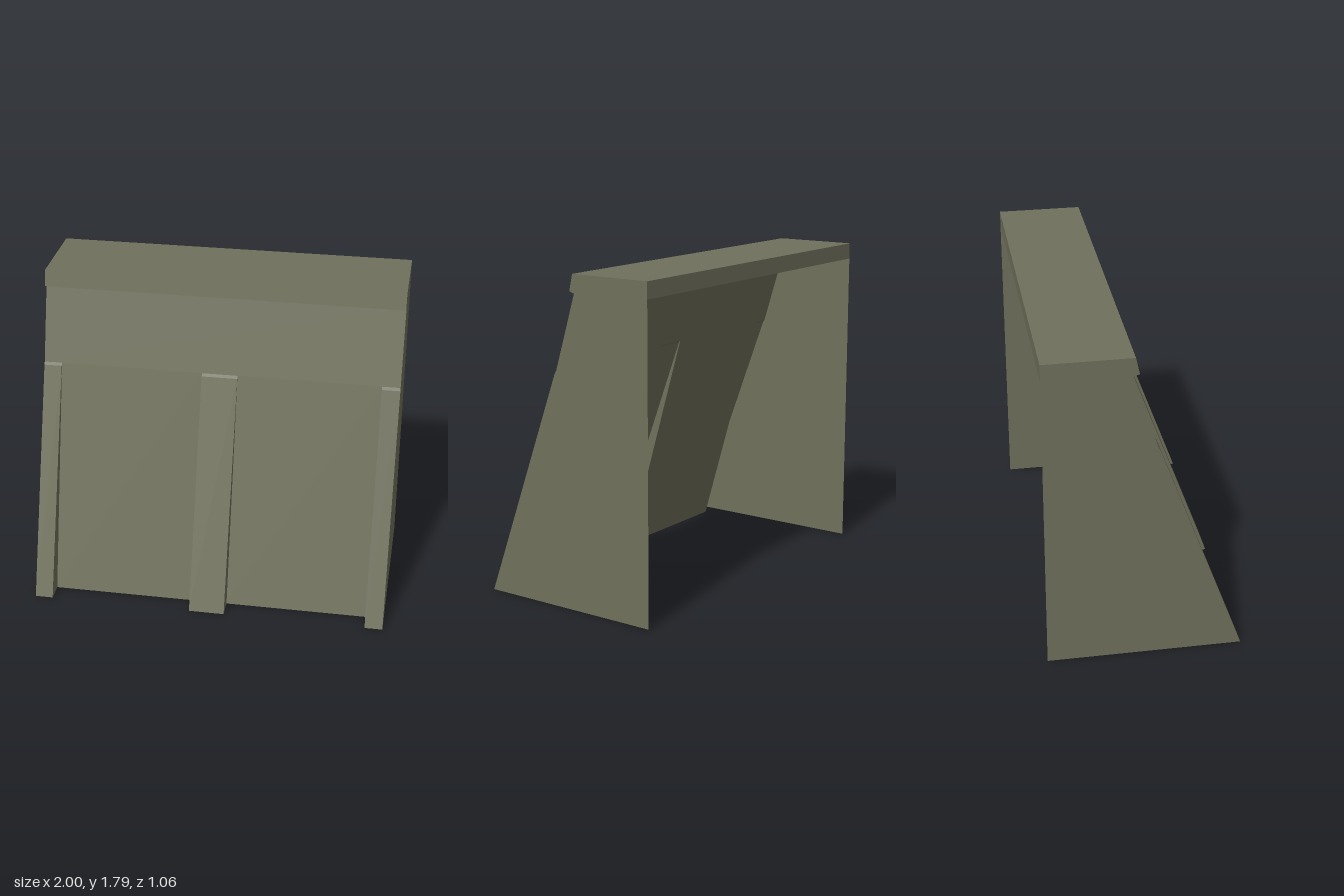
import * as THREE from 'three';

// Profile points are [z, y]
const TOP = 1.79, BACK = -0.53;
const LID = [[BACK, 1.7], [BACK, TOP], [-0.06, TOP], [-0.04, 1.7], [-0.07, 1.69]];
const BEND = [0.056, 1.28];
const UPPER = [[-0.07, 1.69], BEND];
const PANEL = [BEND, [0.425, 0]];
const PILASTER = [BEND, [0.066, 1.265], [0.53, 0]];

export function createModel() {
  const group = new THREE.Group();
  const concrete = new THREE.MeshStandardMaterial({ color: 0x70705c, side: THREE.DoubleSide });

  const add = (name, geometry) => {
    const mesh = new THREE.Mesh(geometry, concrete);
    mesh.name = name;
    group.add(mesh);
  };

  // Sheet that follows a profile from x0 to x1, flat shaded
  const sheet = (name, profile, x0, x1) => {
    const pos = [];
    for (let i = 0; i < profile.length - 1; i++) {
      const [pz, py] = profile[i], [qz, qy] = profile[i + 1];
      const a = [x0, py, pz], b = [x1, py, pz], c = [x1, qy, qz], d = [x0, qy, qz];
      pos.push(...d, ...c, ...b, ...d, ...b, ...a);
    }
    const g = new THREE.BufferGeometry();
    g.setAttribute('position', new THREE.Float32BufferAttribute(pos, 3));
    g.computeVertexNormals();
    add(name, g);
  };

  // Flat upright face at x, facing +x (dir 1) or -x (dir -1)
  const face = (name, points, x, dir) => {
    const shape = new THREE.Shape(points.map(([z, y]) => new THREE.Vector2(-dir * z, y)));
    const g = new THREE.ShapeGeometry(shape);
    g.rotateY(dir * Math.PI / 2);
    g.translate(x, 0, 0);
    add(name, g);
  };

  // Cap with back strip and front lip, then the upper slope
  sheet('cap', LID, -1, 1);
  sheet('upperSlope', UPPER, -1, 1);

  // Recessed panels between the pilasters
  sheet('rightPanel', PANEL, -0.9, -0.1);
  sheet('leftPanel', PANEL, 0.1, 0.9);

  // Hollow tapering pilasters
  sheet('rightPilaster', PILASTER, -1, -0.9);
  sheet('middlePilaster', PILASTER, -0.1, 0.1);
  sheet('leftPilaster', PILASTER, 0.9, 1);
  const cheek = [...PILASTER, [0.425, 0]];
  for (const [x, dir] of [[-0.9, 1], [-0.1, -1], [0.1, 1], [0.9, -1]]) {
    face('pilasterCheek', cheek, x, dir);
  }

  // End walls
  const wall = [[BACK, 0], ...LID.slice(1), ...PILASTER];
  face('rightWall', wall, -1, -1);
  face('leftWall', wall, 1, 1);

  return group;
}
